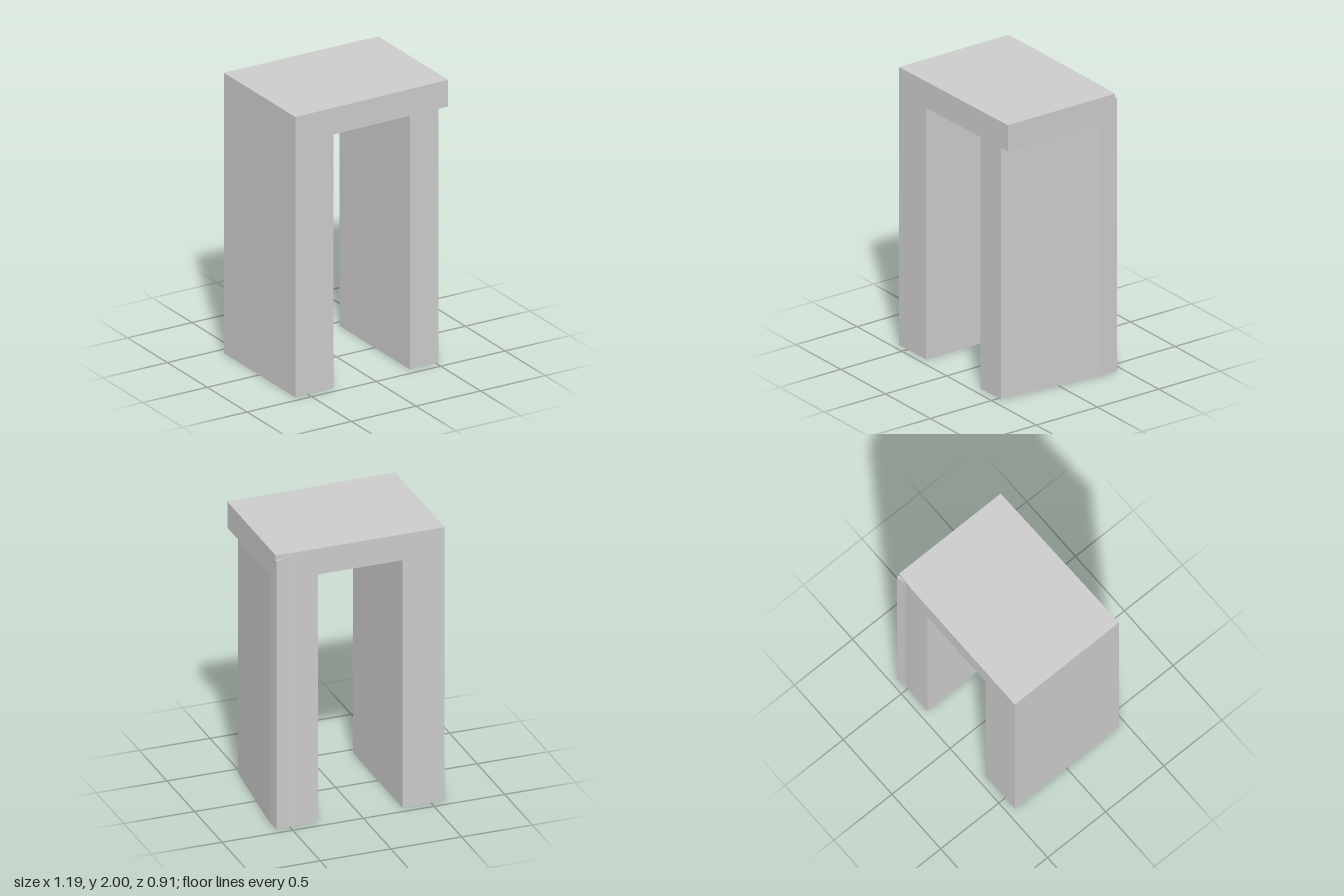
import * as THREE from 'three';

// Upright prism from a footprint of [x, z] corners
function prism(name, corners, bottom, top, material) {
  const shape = new THREE.Shape(corners.map(([x, z]) => new THREE.Vector2(x, -z)));
  const geometry = new THREE.ExtrudeGeometry(shape, { depth: top - bottom, bevelEnabled: false });
  geometry.rotateX(-Math.PI / 2).translate(0, bottom, 0);
  const mesh = new THREE.Mesh(geometry, material);
  mesh.name = name;
  return mesh;
}

export function createModel() {
  const group = new THREE.Group();
  group.name = 'archway';
  const material = new THREE.MeshStandardMaterial({ color: 0xcccccc, flatShading: true });
  const lintelY = 1.81;
  const frontZ = (x) => 0.445 - 0.0134 * x; // slightly skewed front wall

  // Lintel block across both piers
  group.add(prism('lintel', [
    [-0.597, frontZ(-0.597)], [0.597, frontZ(0.597)], [0.597, -0.437],
    [0.52, -0.441], [0.46, -0.444], [-0.597, -0.444],
  ], lintelY, 2, material));

  // Straight pier
  group.add(prism('rightPier', [
    [-0.597, frontZ(-0.597)], [-0.298, frontZ(-0.298)], [-0.298, -0.444], [-0.597, -0.444],
  ], 0, lintelY, material));

  // Pier with slanting outer wall and flared back corner
  group.add(prism('leftPier', [
    [0.298, frontZ(0.298)], [0.52, frontZ(0.52)], [0.597, -0.32], [0.597, -0.455],
    [0.52, -0.441], [0.46, -0.444], [0.298, -0.444],
  ], 0, lintelY, material));

  // Flared corner running up beside the lintel
  group.add(prism('cornerFlare', [
    [0.52, -0.441], [0.597, -0.437], [0.597, -0.455],
  ], lintelY, 1.965, material));

  return group;
}
